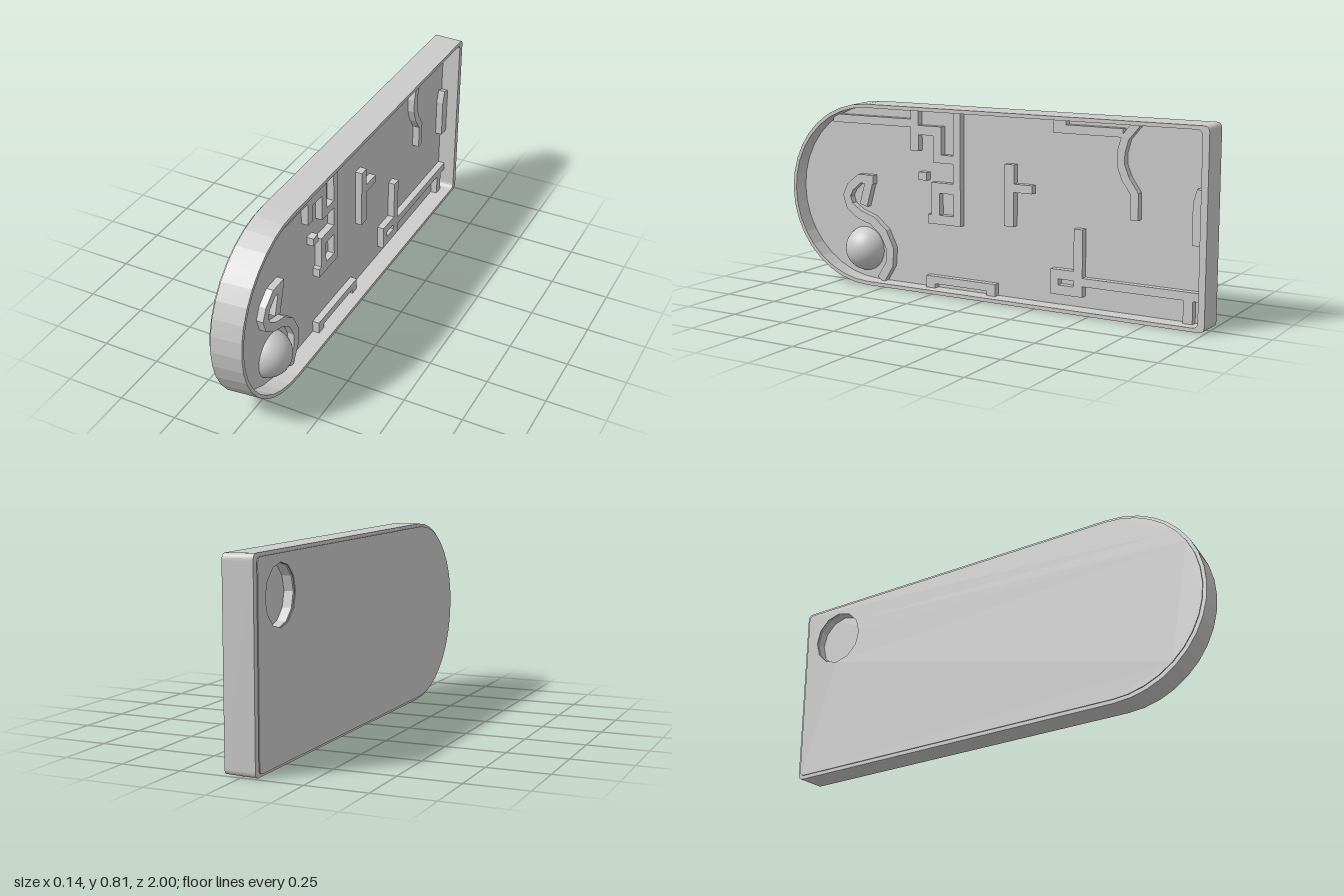
import * as THREE from 'three';

const MID = 0.403; // mid height of the case
const BACK = -0.06, FRONT = 0.065, FLOOR = -0.015, RIB_TOP = 0.015;

// Outline with a square rear and an elliptical front end; inset shrinks it. Drawn as (-z, y).
function outline(inset, rearInset, Type = THREE.Shape) {
  const rear = 1 - rearInset, h = MID - inset, r = 0.025, a = 0.42 - inset, n = 18;
  const s = new Type();
  s.moveTo(rear - r, MID + h);
  for (let i = 0; i <= n; i++) {
    const t = Math.PI / 2 + (i / n) * Math.PI;
    s.lineTo(-0.58 + a * Math.cos(t), MID + h * Math.sin(t));
  }
  s.lineTo(rear - r, MID - h);
  s.quadraticCurveTo(rear, MID - h, rear, MID - h + r);
  s.lineTo(rear, MID + h - r);
  s.quadraticCurveTo(rear, MID + h, rear - r, MID + h);
  return s;
}

function roundHole() {
  const h = new THREE.Path();
  h.absarc(0.81, 0.64, 0.12, 0, Math.PI * 2, true);
  return h;
}

// Extrudes a (-z, y) shape along x
function slab(shape, x0, x1) {
  const g = new THREE.ExtrudeGeometry(shape, { depth: x1 - x0, bevelEnabled: false, curveSegments: 6 });
  g.rotateY(Math.PI / 2);
  g.translate(x0, 0, 0);
  return g;
}

// Slight draft: the case narrows towards its open side
function draft(g) {
  const p = g.attributes.position;
  for (let i = 0; i < p.count; i++) {
    const t = (p.getX(i) - BACK) / (FRONT - BACK), z = p.getZ(i);
    p.setY(i, MID + (p.getY(i) - MID) * (1 - 0.008 * t));
    if (z > 0.58) p.setZ(i, z - 0.016 * t * (z - 0.58) / 0.42);
  }
  g.computeVertexNormals();
  return g;
}

// Band of constant width along a [z, y] centre line
function ribbon(path, width) {
  const pts = path.map(([z, y]) => new THREE.Vector2(-z, y));
  const left = [], right = [];
  pts.forEach((p, i) => {
    const a = pts[Math.max(i - 1, 0)], b = pts[Math.min(i + 1, pts.length - 1)];
    const d = b.clone().sub(a).normalize().multiplyScalar(width / 2);
    left.push(new THREE.Vector2(p.x - d.y, p.y + d.x));
    right.unshift(new THREE.Vector2(p.x + d.y, p.y - d.x));
  });
  return new THREE.Shape([...left, ...right]);
}

export function createModel() {
  const model = new THREE.Group();
  const add = (name, geometry, parent = model, flatShading = true) => {
    const m = new THREE.Mesh(geometry, new THREE.MeshStandardMaterial({ color: 0xcccccc, flatShading }));
    m.name = name;
    parent.add(m);
    return m;
  };

  // Case: rim wall, inner floor and the back layer with its round recess
  const wall = outline(0, 0);
  wall.holes.push(outline(0.016, 0.028, THREE.Path));
  add('rimWall', draft(slab(wall, BACK, FRONT)));
  add('floor', draft(slab(outline(0.012, 0.02), -0.022, FLOOR)));
  const backLayer = outline(0.012, 0.02);
  backLayer.holes.push(roundHole());
  add('backLayer', draft(slab(backLayer, BACK, -0.022)));

  // Thin cover, held just off the back
  const cover = outline(0.013, 0.015);
  cover.holes.push(roundHole());
  add('backCover', slab(cover, -0.07, -0.066));

  // Dome on the floor
  const domeGeometry = new THREE.SphereGeometry(0.1, 24, 10, 0, Math.PI * 2, 0, Math.PI / 2);
  domeGeometry.rotateZ(-Math.PI / 2);
  add('dome', domeGeometry, model, false).position.set(-0.031, 0.148, 0.645);

  // Ribs made of straight bars: each bar is [z0, z1, y0, y1]
  const height = RIB_TOP - FLOOR;
  const barRib = (name, ...bars) => {
    const group = new THREE.Group();
    group.name = name;
    model.add(group);
    for (const [z0, z1, y0, y1] of bars) {
      const box = new THREE.BoxGeometry(height, y1 - y0, z1 - z0);
      add('bar', box.translate(FLOOR + height / 2, (y0 + y1) / 2, (z0 + z1) / 2), group);
    }
  };
  barRib('steppedRib',
    [0.13, 0.165, 0.30, 0.79], // spine
    [0.165, 0.295, 0.30, 0.34], [0.235, 0.275, 0.34, 0.48], [0.165, 0.235, 0.435, 0.48], // window
    [0.165, 0.265, 0.565, 0.60], [0.225, 0.265, 0.60, 0.72], // steps
    [0.265, 0.34, 0.68, 0.72], [0.34, 0.38, 0.61, 0.79]);
  barRib('smallPeg', [0.30, 0.34, 0.485, 0.52]);
  barRib('upperFrontBar', [0.38, 0.79, 0.71, 0.745]);
  barRib('middleTee', [-0.13, -0.085, 0.325, 0.585], [-0.215, -0.13, 0.47, 0.505]);
  barRib('upperRearBar', [-0.37, -0.31, 0.73, 0.79], [-0.62, -0.37, 0.73, 0.765]);
  barRib('lowerRearBracket',
    [-0.45, -0.41, 0.17, 0.345], // post
    [-0.45, -0.305, 0.13, 0.17], [-0.45, -0.305, 0.065, 0.105], // slotted block
    [-0.45, -0.41, 0.105, 0.13], [-0.34, -0.305, 0.105, 0.13],
    [-0.97, -0.45, 0.11, 0.145], [-0.93, -0.89, 0.015, 0.11]); // arm and foot
  barRib('lowerBar', [-0.04, 0.305, 0.037, 0.07], [0.26, 0.305, 0.015, 0.037], [-0.04, 0, 0.015, 0.037]);

  // Curved and angled ribs
  const bandRib = (name, width, path) => add(name, slab(ribbon(path, width), FLOOR, RIB_TOP));
  bandRib('curvedRearRib', 0.034, [[-0.68, 0.79], [-0.63, 0.73], [-0.613, 0.67], [-0.613, 0.62],
    [-0.635, 0.565], [-0.675, 0.51], [-0.675, 0.405]]);
  bandRib('curledRib', 0.04, [[0.58, 0.465], [0.655, 0.465], [0.705, 0.425], [0.725, 0.385], [0.71, 0.34],
    [0.66, 0.305], [0.59, 0.283], [0.53, 0.235], [0.495, 0.165], [0.50, 0.095], [0.545, 0.022]]);
  bandRib('curledRibTip', 0.04, [[0.602, 0.46], [0.635, 0.348]]);
  bandRib('endRib', 0.05, [[-0.945, 0.33], [-0.945, 0.495], [-0.96, 0.545]]);

  return model;
}
